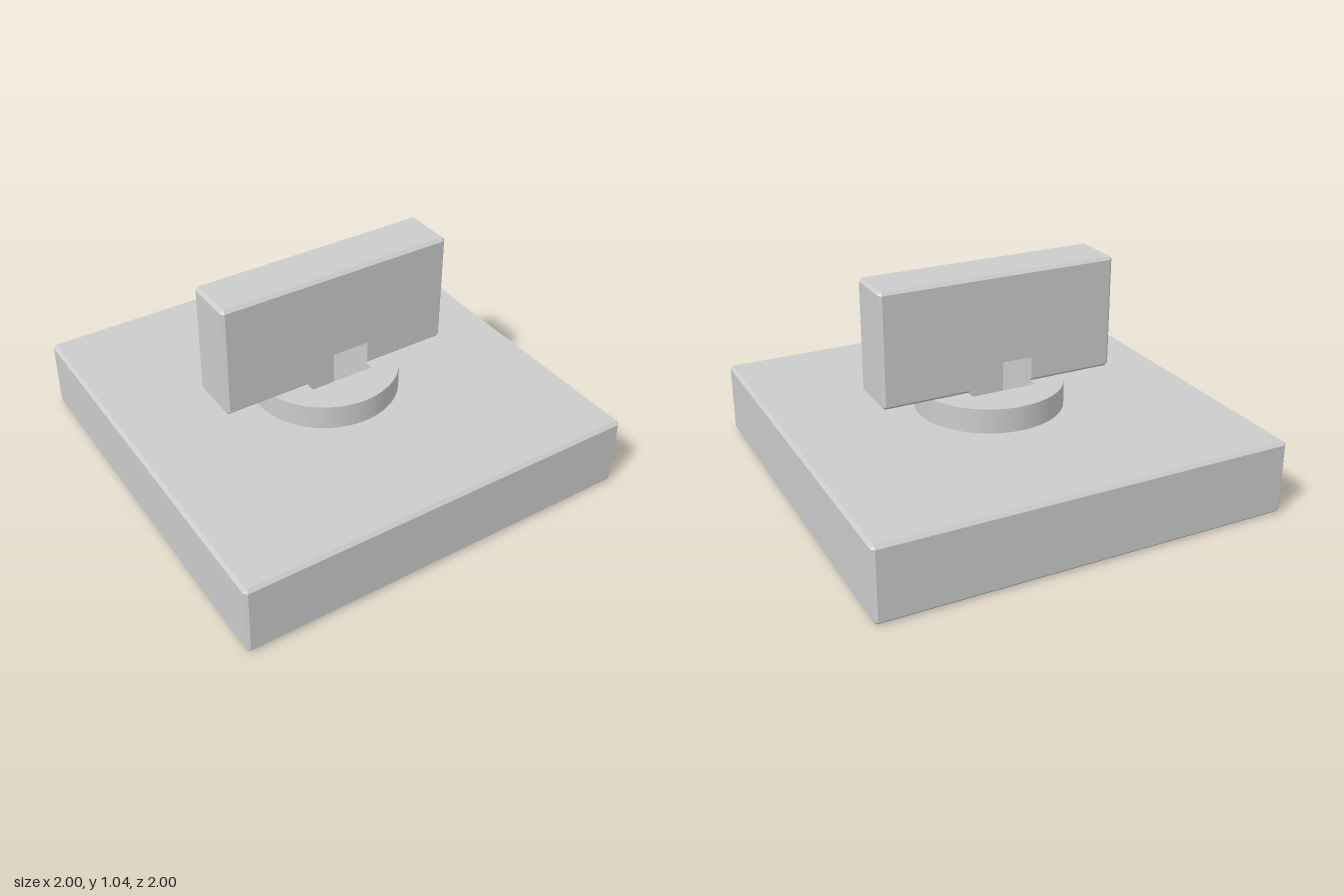
import * as THREE from 'three';

const C = 0.015; // chamfer on all outer edges

// Skin between counter-clockwise outlines [points, z], faceted
function loft(rings) {
  const pos = [];
  for (let i = 0; i + 1 < rings.length; i++) {
    const [p, z0] = rings[i], [q, z1] = rings[i + 1];
    for (let j = 0; j < p.length; j++) {
      const k = (j + 1) % p.length;
      const a = [...p[j], z0], b = [...p[k], z0], c = [...q[k], z1], d = [...q[j], z1];
      pos.push(...a, ...b, ...c, ...a, ...c, ...d);
    }
  }
  const g = new THREE.BufferGeometry();
  g.setAttribute('position', new THREE.Float32BufferAttribute(pos, 3));
  g.computeVertexNormals();
  return g;
}

// Square outline with cut corners; half is its half width, a the half length of each straight side
const octagon = (half, a) => [
  [half, -a], [half, a], [a, half], [-a, half],
  [-half, a], [-half, -a], [-a, -half], [a, -half],
];

function square(half) {
  return new THREE.Shape([[-1, -1], [1, -1], [1, 1], [-1, 1]]
    .map(([x, y]) => new THREE.Vector2(x * half, y * half)));
}

function circle(r) {
  return new THREE.Shape().absarc(0, 0, r, 0, Math.PI * 2, false);
}

// Horizontal slab from y0 to y1 with one hole
function slab(shape, hole, y0, y1) {
  shape.holes.push(hole);
  const g = new THREE.ExtrudeGeometry(shape, { depth: y1 - y0, bevelEnabled: false, curveSegments: 48 });
  return g.rotateX(-Math.PI / 2).translate(0, y0, 0);
}

// Grip outline with the notch in its lower edge, inset by i
function gripOutline(i) {
  const w = 0.595, b = 0.48, t = 1.04, n = 0.163, notchTop = 0.605;
  const right = [
    [n, notchTop], [n, b + i], [w - C, b + i], [w - i, b + C],
    [w - i, t - C], [w - C, t - i],
  ];
  return [...right, ...right.map(([x, y]) => [-x, y]).reverse()];
}

export function createModel() {
  const group = new THREE.Group();
  const material = new THREE.MeshStandardMaterial({ color: 0xcccccc });
  const add = (name, geometry, parent = group) => {
    const mesh = new THREE.Mesh(geometry, material);
    mesh.name = name;
    parent.add(mesh);
  };

  // Base: chamfered skirt around a recessed underside
  const base = new THREE.Group();
  base.name = 'base';
  group.add(base);
  const e = 1 - C, inner = 0.93;
  add('baseSkirt', loft([
    [octagon(inner, inner), 0.12], [octagon(inner, inner), 0],
    [octagon(e, e), 0], [octagon(1, e), C],
    [octagon(1, e), 0.36 - C], [octagon(e, e), 0.36],
  ]).rotateX(-Math.PI / 2), base);

  // Underside with round socket, top plate with square hole
  const holeHalf = 0.163, socketTop = 0.19;
  add('undersidePlate', slab(square(inner), circle(0.305), 0.12, socketTop), base);
  add('topPlate', slab(square(e), square(holeHalf), socketTop, 0.36), base);

  // Round collar, pierced by the same square hole
  add('collar', slab(circle(0.36), square(holeHalf), 0.36, 0.48));

  // Upright grip: chamfered block with a notch, closed front and back
  const grip = new THREE.Group();
  grip.name = 'grip';
  group.add(grip);
  const d = 0.128;
  add('gripSides', loft([
    [gripOutline(C), -d], [gripOutline(0), C - d],
    [gripOutline(0), d - C], [gripOutline(C), d],
  ]), grip);
  // Collapsed chamfer corners are dropped from the flat faces
  const facePoints = gripOutline(C)
    .map(([x, y]) => new THREE.Vector2(x, y))
    .filter((p, i, all) => i === 0 || p.distanceTo(all[i - 1]) > 1e-6);
  const face = new THREE.ShapeGeometry(new THREE.Shape(facePoints));
  add('gripFront', face.clone().translate(0, 0, d), grip);
  add('gripBack', face.clone().rotateY(Math.PI).translate(0, 0, -d), grip);

  return group;
}
